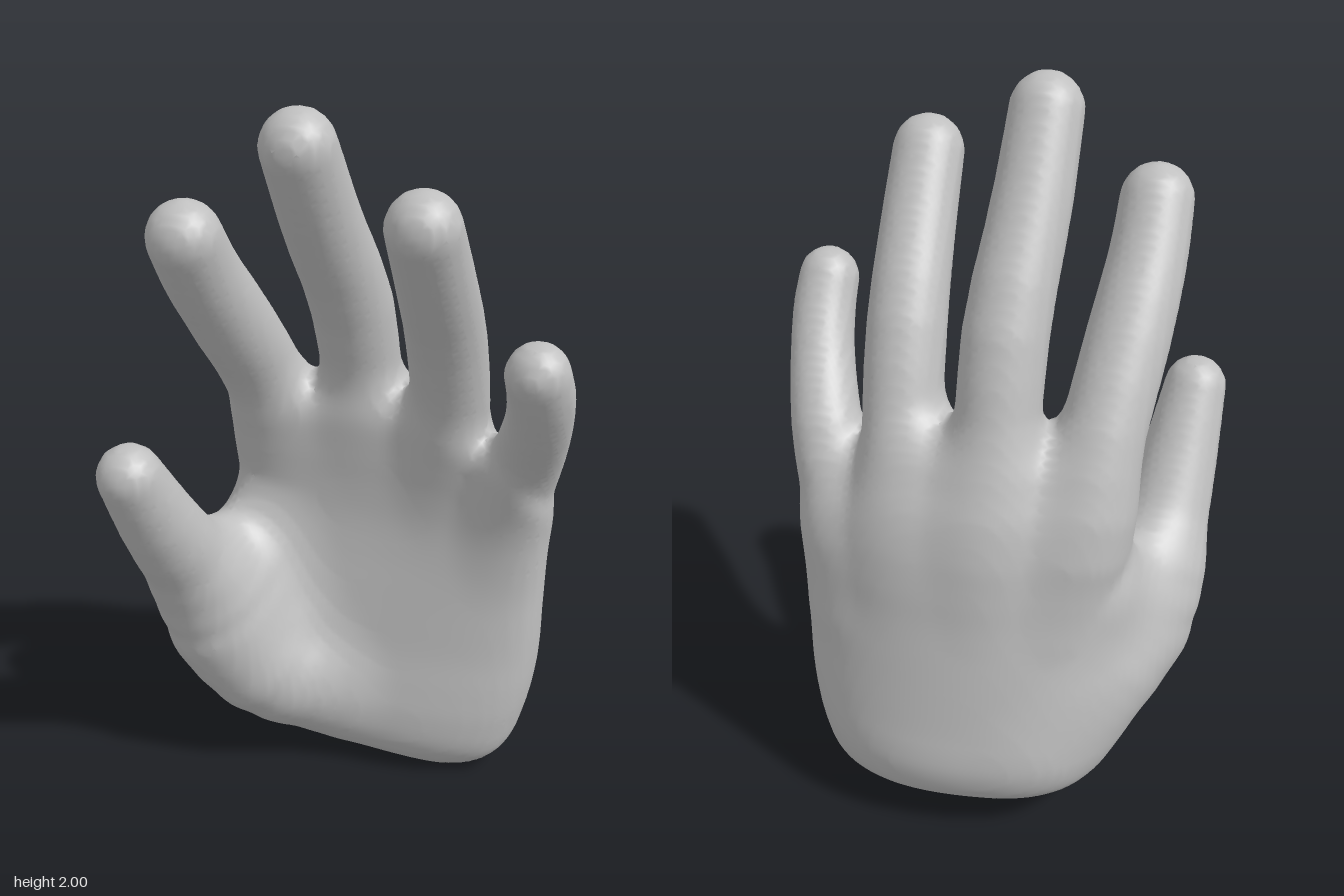
import * as THREE from 'three';

const skin = new THREE.MeshStandardMaterial({ color: 0xc0c0c0 });
skin.name = 'plain grey';

// Palm cross-sections every 0.1 up from the wrist: [right, left, back, front, arch]
const palmSections = [
  [-0.26, 0.33, -0.39, -0.02, 0.01],
  [-0.355, 0.42, -0.445, 0.03, 0.03],
  [-0.39, 0.455, -0.465, 0.035, 0.045],
  [-0.405, 0.475, -0.46, 0.02, 0.055],
  [-0.415, 0.485, -0.445, 0.0, 0.06],
  [-0.42, 0.488, -0.43, -0.015, 0.065],
  [-0.415, 0.488, -0.415, -0.03, 0.07],
  [-0.41, 0.486, -0.4, -0.045, 0.08],
  [-0.4, 0.483, -0.388, -0.055, 0.085],
  [-0.4, 0.48, -0.37, -0.055, 0.085],
  [-0.395, 0.465, -0.34, -0.05, 0.085],
  [-0.37, 0.42, -0.285, -0.05, 0.08],
  [-0.31, 0.36, -0.23, -0.07, 0.06],
];

// Fingers and thumb run from inside the palm to the tip: [x, y, z, radius]
const digits = [
  { name: 'indexFinger', blend: 0.09, limbs: [[
    [-0.23, 0.68, -0.22, 0.09], [-0.285, 0.93, -0.2, 0.115], [-0.31, 1.16, -0.11, 0.11],
    [-0.347, 1.4, 0.05, 0.109], [-0.367, 1.56, 0.17, 0.101], [-0.37, 1.675, 0.25, 0.096]]] },
  { name: 'middleFinger', blend: 0.09, limbs: [[
    [-0.03, 0.68, -0.25, 0.09], [-0.04, 0.93, -0.235, 0.115], [-0.05, 1.18, -0.165, 0.11],
    [-0.055, 1.44, -0.075, 0.111], [-0.08, 1.7, 0.08, 0.102], [-0.09, 1.905, 0.2, 0.095]]] },
  { name: 'ringFinger', blend: 0.09, limbs: [[
    [0.17, 0.68, -0.23, 0.09], [0.19, 0.92, -0.2, 0.11], [0.215, 1.16, -0.11, 0.106],
    [0.225, 1.4, 0.0, 0.105], [0.23, 1.6, 0.14, 0.098], [0.23, 1.755, 0.25, 0.093]]] },
  { name: 'littleFinger', blend: 0.1, limbs: [[
    [0.34, 0.62, -0.2, 0.08], [0.385, 0.86, -0.155, 0.1], [0.44, 1.06, -0.075, 0.097],
    [0.485, 1.22, 0.045, 0.087], [0.5, 1.33, 0.125, 0.084], [0.498, 1.4, 0.172, 0.081]]] },
  { name: 'thumb', blend: 0.16, limbs: [
    // ball of the thumb out to its tip
    [[-0.14, 0.25, -0.07, 0.12], [-0.28, 0.3, 0.01, 0.165], [-0.385, 0.45, 0.05, 0.182],
      [-0.445, 0.65, 0.13, 0.132], [-0.475, 0.86, 0.265, 0.111], [-0.498, 1.07, 0.383, 0.087]],
    // root at the back of the hand
    [[-0.18, 0.28, -0.24, 0.12], [-0.34, 0.45, -0.1, 0.15], [-0.44, 0.63, 0.09, 0.12]],
    // web towards the index finger
    [[-0.32, 0.72, -0.14, 0.08], [-0.36, 0.64, -0.04, 0.09], [-0.41, 0.58, 0.06, 0.1]]] },
];

// Smooth minimum: joins two shapes with a fillet of size k
function join(a, b, k) {
  const h = Math.max(k - Math.abs(a - b), 0);
  return Math.min(a, b) - h * h / (4 * k);
}

const cubic = (a, b, c, d, t) =>
  b + 0.5 * t * (c - a + t * (2 * a - 5 * b + 4 * c - d + t * (3 * (b - c) + d - a)));

// Signed distance to the palm
function palmDistance(x, y, z) {
  // slanted wrist cut below, knuckle line dropping towards the little finger above
  const low = THREE.MathUtils.clamp(1 - y / 0.35, 0, 1);
  const high = THREE.MathUtils.clamp((y - 0.8) / 0.3, 0, 1);
  const s = y - low * (0.28 * Math.abs(z + 0.05) - 0.1 * x) + high * 2.2 * Math.max(0, x - 0.1) ** 2;

  const last = palmSections.length - 1;
  const f = THREE.MathUtils.clamp(s * 10, 0, last);
  const i = Math.min(Math.floor(f), last - 1);
  const [p, q, r, t] = [i - 1, i, i + 1, i + 2].map((k) => palmSections[THREE.MathUtils.clamp(k, 0, last)]);
  const [right, left, back, front, arch] = q.map((v, k) => cubic(p[k], v, r[k], t[k], f - i));

  // arched superellipse section
  const w = (left - right) / 2, d = (front - back) / 2, n = 2.35;
  const u = Math.abs(x - (left + right) / 2) / w;
  const v = Math.abs(z - arch * Math.min(u, 1.2) ** 2 - (front + back) / 2) / d;
  const rho = Math.max((u ** n + v ** n) ** (1 / n), 0.01);
  const slope = Math.hypot((u / rho) ** (n - 1) / w, (v / rho) ** (n - 1) / d);
  const depth = (1 - rho) / Math.max(slope, 0.01);

  // rounded off at the wrist and at the finger webs
  return -join(join(depth, s - 0.01, 0.07), 1.17 - s, 0.08);
}

// Turns stations into short tapered segments along a smooth path
function segments(stations) {
  const path = new THREE.CatmullRomCurve3(stations.map(([x, y, z]) => new THREE.Vector3(x, y, z)));
  const count = 12, list = [];
  const at = (k) => {
    const f = (k / count) * (stations.length - 1);
    const i = Math.min(Math.floor(f), stations.length - 2);
    const r = THREE.MathUtils.lerp(stations[i][3], stations[i + 1][3], f - i);
    return [...path.getPoint(k / count).toArray(), r];
  };
  for (let k = 0; k < count; k++) list.push([at(k), at(k + 1)]);
  return list;
}

function limbDistance(list, x, y, z) {
  let best = Infinity;
  for (const [a, b] of list) {
    const dx = b[0] - a[0], dy = b[1] - a[1], dz = b[2] - a[2];
    const px = x - a[0], py = y - a[1], pz = z - a[2];
    const dot = (px * dx + py * dy + pz * dz) / (dx * dx + dy * dy + dz * dz);
    const t = Math.max(0, Math.min(1, dot));
    const ex = px - t * dx, ey = py - t * dy, ez = pz - t * dz;
    best = Math.min(best, Math.sqrt(ex * ex + ey * ey + ez * ez) - a[3] - t * (b[3] - a[3]));
  }
  return best;
}

const solids = digits.map(({ blend, limbs }) => ({ blend, limbs: limbs.map(segments) }));

// Distances to the palm and to each digit
const partDistances = (x, y, z) => [
  palmDistance(x, y, z),
  ...solids.map((s) => s.limbs.map((l) => limbDistance(l, x, y, z)).reduce((a, b) => join(a, b, 0.1))),
];

// Each digit is filleted into the palm but stays apart from its neighbours
function handDistance(x, y, z) {
  const [palm, ...rest] = partDistances(x, y, z);
  return Math.min(...rest.map((d, i) => join(palm, d, solids[i].blend)));
}

export function createModel() {
  // Sample the shape on a grid
  const step = 0.02, origin = [-0.7, -0.07, -0.59], size = [70, 107, 58];
  const stride = [1, size[0], size[0] * size[1]];
  const total = stride[2] * size[2];
  const cellOf = (id) => [id % size[0], Math.floor(id / stride[1]) % size[1], Math.floor(id / stride[2])];
  const field = new Float32Array(total);
  for (let id = 0; id < total; id++) {
    field[id] = handDistance(...cellOf(id).map((c, a) => origin[a] + c * step));
  }

  // One skin point in every cell the surface passes through
  const points = [], pointOf = new Map();
  for (let id = 0; id < total; id++) {
    const cell = cellOf(id);
    if (cell.some((c, a) => c >= size[a] - 1)) continue;
    const sum = new THREE.Vector3();
    let hits = 0;
    for (let corner = 0; corner < 8; corner++) {
      const bits = [corner & 1, (corner >> 1) & 1, corner >> 2];
      const from = id + bits[0] * stride[0] + bits[1] * stride[1] + bits[2] * stride[2];
      for (let a = 0; a < 3; a++) {
        const v0 = field[from], v1 = field[from + stride[a]];
        if (bits[a] || (v0 < 0) === (v1 < 0)) continue;
        const cut = [...bits];
        cut[a] = v0 / (v0 - v1);
        sum.add(new THREE.Vector3(...cut));
        hits++;
      }
    }
    if (!hits) continue;
    pointOf.set(id, points.length);
    points.push(sum.divideScalar(hits).add(new THREE.Vector3(...cell)).multiplyScalar(step)
      .add(new THREE.Vector3(...origin)));
  }

  // Join neighbouring points into quads, sorted by the part they belong to
  const owner = points.map((p) => {
    const d = partDistances(p.x, p.y, p.z);
    return d.indexOf(Math.min(...d));
  });
  const names = ['palm', ...digits.map((d) => d.name)];
  const faces = names.map(() => []);
  for (let id = 0; id < total - stride[2]; id++) {
    for (let a = 0; a < 3; a++) {
      const inside = field[id] < 0;
      if (inside === (field[id + stride[a]] < 0)) continue;
      const b = stride[(a + 1) % 3], c = stride[(a + 2) % 3];
      const quad = [id, id - b, id - b - c, id - c].map((k) => pointOf.get(k));
      if (!inside) quad.reverse();
      const [p, q, r, s] = quad;
      faces[owner[p]].push(p, q, r, p, r, s);
    }
  }

  // Parts share points and normals, so the skin runs smoothly across them
  const whole = new THREE.BufferGeometry().setFromPoints(points);
  whole.setIndex(faces.flat());
  whole.computeVertexNormals();
  const hand = new THREE.Group();
  hand.name = 'hand';
  names.forEach((name, i) => {
    const geometry = new THREE.BufferGeometry();
    geometry.setAttribute('position', whole.getAttribute('position'));
    geometry.setAttribute('normal', whole.getAttribute('normal'));
    geometry.setIndex(faces[i]);
    const part = new THREE.Mesh(geometry, skin);
    part.name = name;
    hand.add(part);
  });
  return hand;
}
